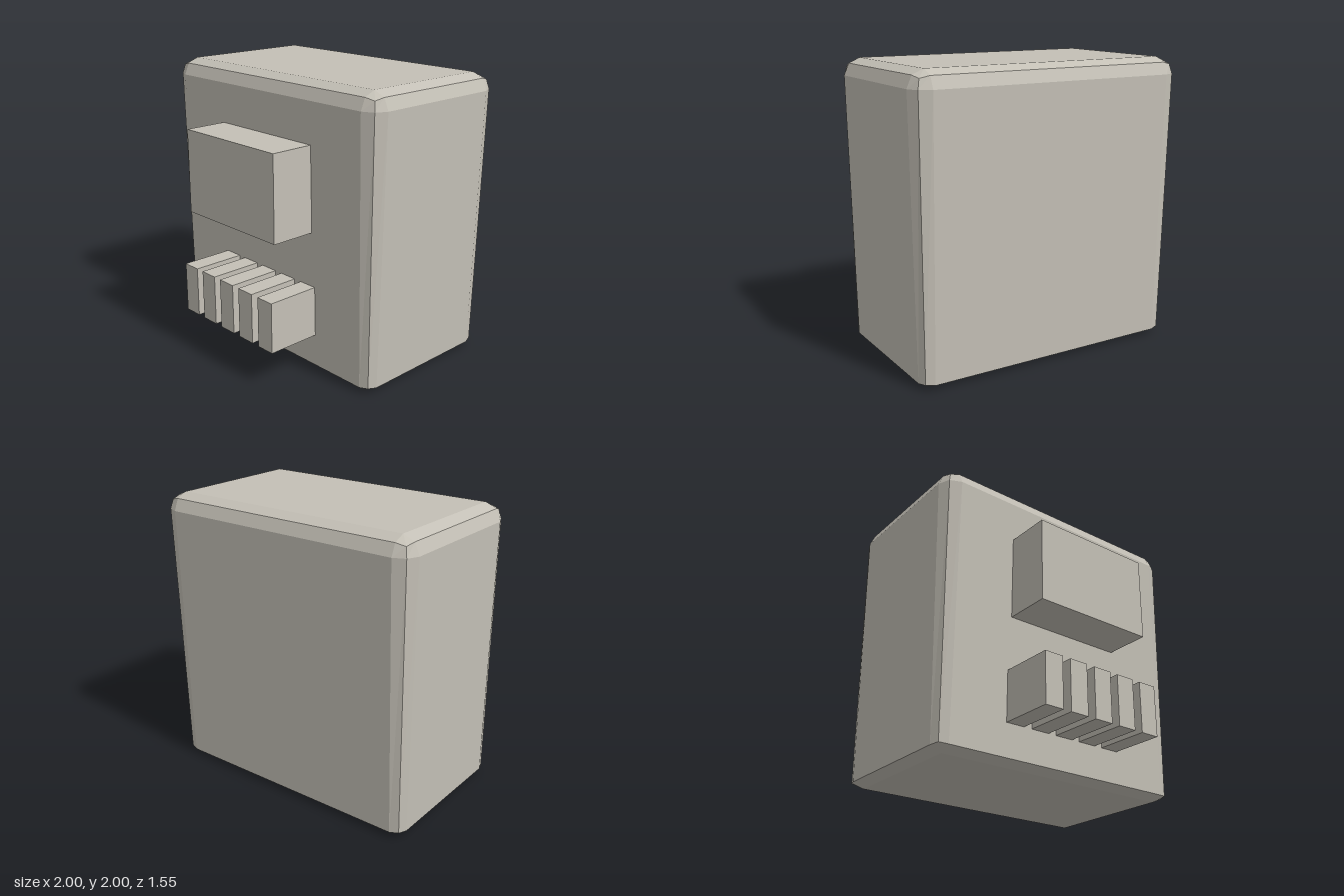
import * as THREE from 'three';

const CX = 0.885, CZ = 0.48, Z0 = -0.178; // straight half-extents and body centre

// One 12-point section: each corner has a front/back point, a diagonal point and a side point.
// out = reach of the flat sides, diag = reach of the diagonal point, yDiag = its height.
function section(y, out, diag, yDiag = y) {
  const ring = [];
  [[1, 1], [1, -1], [-1, -1], [-1, 1]].forEach(([sx, sz], i) => {
    const corner = [
      [sx * CX, y, Z0 + sz * (CZ + out)],
      [sx * (CX + diag), yDiag, Z0 + sz * (CZ + diag)],
      [sx * (CX + out), y, Z0 + sz * CZ],
    ];
    ring.push(...(i % 2 ? corner.reverse() : corner));
  });
  return ring.map((p) => new THREE.Vector3(...p));
}

// Faceted solid through the sections, with flat caps
function loft(rings) {
  const pts = [];
  const tri = (a, b, c) => {
    const area = b.clone().sub(a).cross(c.clone().sub(a)).length();
    if (area > 1e-7) pts.push(a, b, c);
  };
  for (let r = 0; r < rings.length - 1; r++) {
    const lo = rings[r], hi = rings[r + 1], n = lo.length;
    for (let i = 0; i < n; i++) {
      const j = (i + 1) % n;
      tri(lo[i], lo[j], hi[j]);
      tri(lo[i], hi[j], hi[i]);
    }
  }
  const bottom = rings[0], top = rings[rings.length - 1];
  for (let i = 1; i < top.length - 1; i++) {
    tri(top[0], top[i], top[i + 1]);
    tri(bottom[0], bottom[i + 1], bottom[i]);
  }
  const geo = new THREE.BufferGeometry().setFromPoints(pts);
  geo.computeVertexNormals();
  return geo;
}

export function createModel() {
  const group = new THREE.Group();
  const casing = new THREE.MeshStandardMaterial({ color: 0xc4c0b6 });
  casing.name = 'warm grey casing';

  const add = (name, geo) => {
    const mesh = new THREE.Mesh(geo, casing);
    mesh.name = name;
    group.add(mesh);
    return mesh;
  };

  // Tapered body with bevelled edges
  add('body', loft([
    section(0, 0, 0),
    section(0.035, 0.08, 0.06, 0.042),
    section(1.885, 0.115, 0.08),
    section(1.965, 0.08, 0.065, 1.95),
    section(2, 0, 0),
  ]));

  // Blocks standing out from the front, rooted inside the body
  const block = (name, x, w, y0, y1, z1) => {
    const z0 = 0.25;
    add(name, new THREE.BoxGeometry(w, y1 - y0, z1 - z0))
      .position.set(x, (y0 + y1) / 2, (z0 + z1) / 2);
  };
  block('displayBlock', 0, 0.895, 1.005, 1.6, 0.725);
  for (let i = 0; i < 5; i++) {
    block(`button${i + 1}`, (i - 2) * 0.2, 0.138, 0.265, 0.62, 0.775);
  }
  return group;
}
